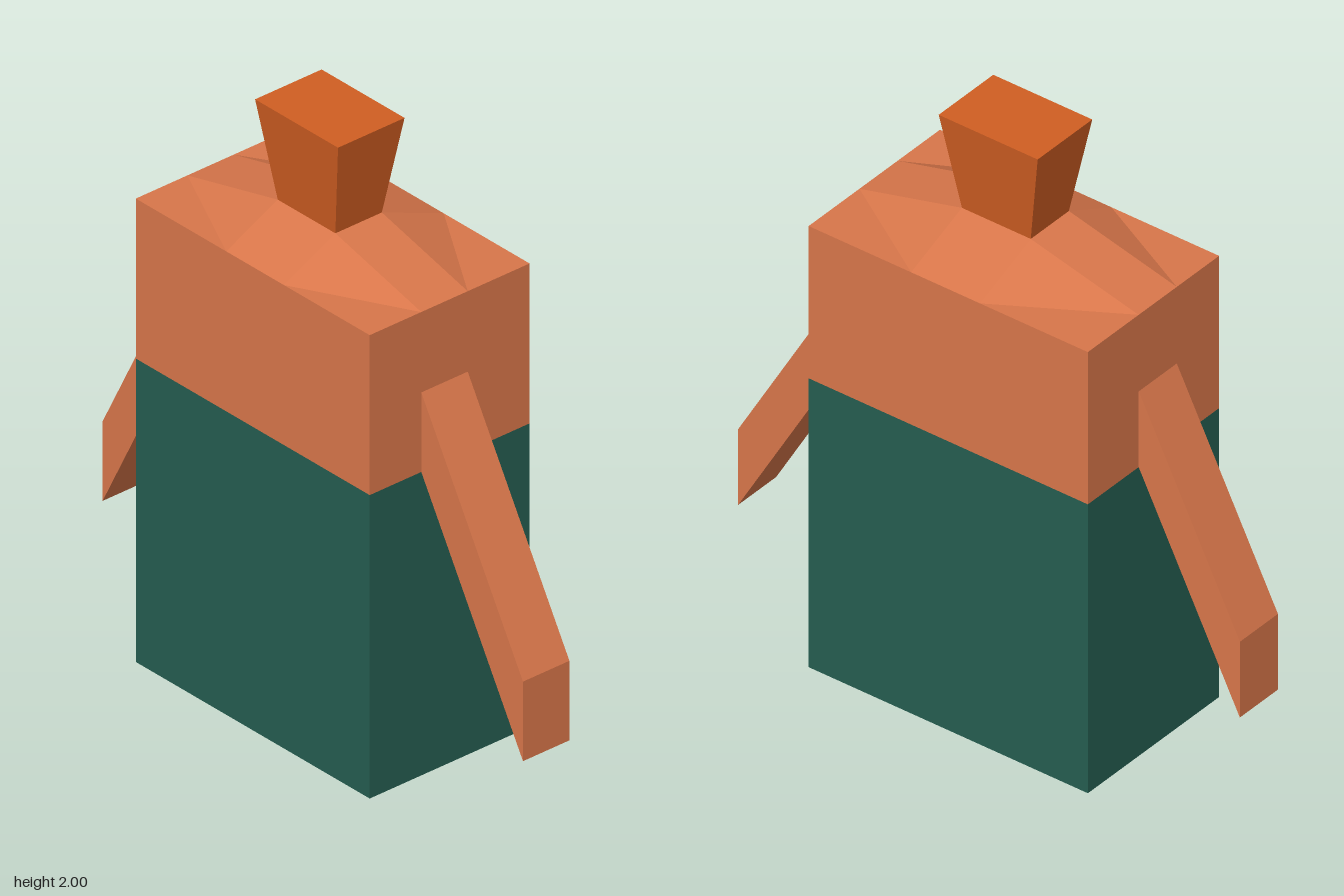
import * as THREE from 'three';

const skin = new THREE.MeshStandardMaterial({ color: 0xd8764a });
skin.name = 'terracotta';
const cloth = new THREE.MeshStandardMaterial({ color: 0x255d50 });
cloth.name = 'dark green';
const headColour = new THREE.MeshStandardMaterial({ color: 0xd05e22 });
headColour.name = 'burnt orange';

// Grid lines shared by the torso, neck opening and arms
const xs = [-0.31, -0.11, 0.07, 0.31];
const zs = [-0.555, -0.155, 0.1, 0.48];
const SHOULDER = 1.573, NECK = 1.67, WAIST = 1.03;

function add(group, name, geometry, material) {
  const mesh = new THREE.Mesh(geometry, material);
  mesh.name = name;
  group.add(mesh);
}

// Box between two corners
function block([x0, y0, z0], [x1, y1, z1]) {
  return new THREE.BoxGeometry(x1 - x0, y1 - y0, z1 - z0)
    .translate((x0 + x1) / 2, (y0 + y1) / 2, (z0 + z1) / 2);
}

// Move every vertex by a rule, then refresh the flat normals
function reshape(geometry, rule) {
  const p = geometry.attributes.position;
  const v = new THREE.Vector3();
  for (let i = 0; i < p.count; i++) {
    rule(v.fromBufferAttribute(p, i));
    p.setXYZ(i, v.x, v.y, v.z);
  }
  geometry.computeVertexNormals();
  return geometry;
}

// Sloping shoulders: a 3 x 3 grid whose middle cell is raised to the neck
function shoulders() {
  const positions = [];
  const inner = (k) => k === 1 || k === 2;
  const point = (i, j) => [xs[i], inner(i) && inner(j) ? NECK : SHOULDER, zs[j]];
  for (let i = 0; i < 3; i++) {
    for (let j = 0; j < 3; j++) {
      const a = point(i, j), b = point(i, j + 1);
      const c = point(i + 1, j + 1), d = point(i + 1, j);
      const tris = i === j ? [a, b, d, b, c, d] : [a, b, c, a, c, d];
      positions.push(...tris.flat());
    }
  }
  const geometry = new THREE.BufferGeometry();
  geometry.setAttribute('position', new THREE.Float32BufferAttribute(positions, 3));
  geometry.computeVertexNormals();
  return geometry;
}

// Arm: box sheared downwards as it leaves the body
function arm(zBody, zHand, drop) {
  const box = block([xs[1], WAIST, Math.min(zBody, zHand)], [xs[2], 1.3, Math.max(zBody, zHand)]);
  return reshape(box, (v) => { v.y -= drop * (v.z - zBody) / (zHand - zBody); });
}

export function createModel() {
  const model = new THREE.Group();
  model.name = 'figure';

  add(model, 'lowerBody', block([xs[0], 0, zs[0]], [xs[3], WAIST, zs[3]]), cloth);
  add(model, 'upperBody', block([xs[0], WAIST, zs[0]], [xs[3], SHOULDER, zs[3]]), skin);
  add(model, 'shoulders', shoulders(), skin);
  add(model, 'frontArm', arm(zs[3], 0.93, 0.78), skin);
  add(model, 'backArm', arm(zs[0], -0.93, 0.73), skin);

  // Head flares outwards from the neck to the crown
  const head = reshape(block([xs[1], NECK, zs[1]], [xs[2], 2, zs[2]]), (v) => {
    if (v.y < 1.9) return;
    v.x = v.x < 0 ? -0.148 : 0.11;
    v.z = v.z < 0 ? -0.212 : 0.155;
  });
  add(model, 'head', head, headColour);

  return model;
}
